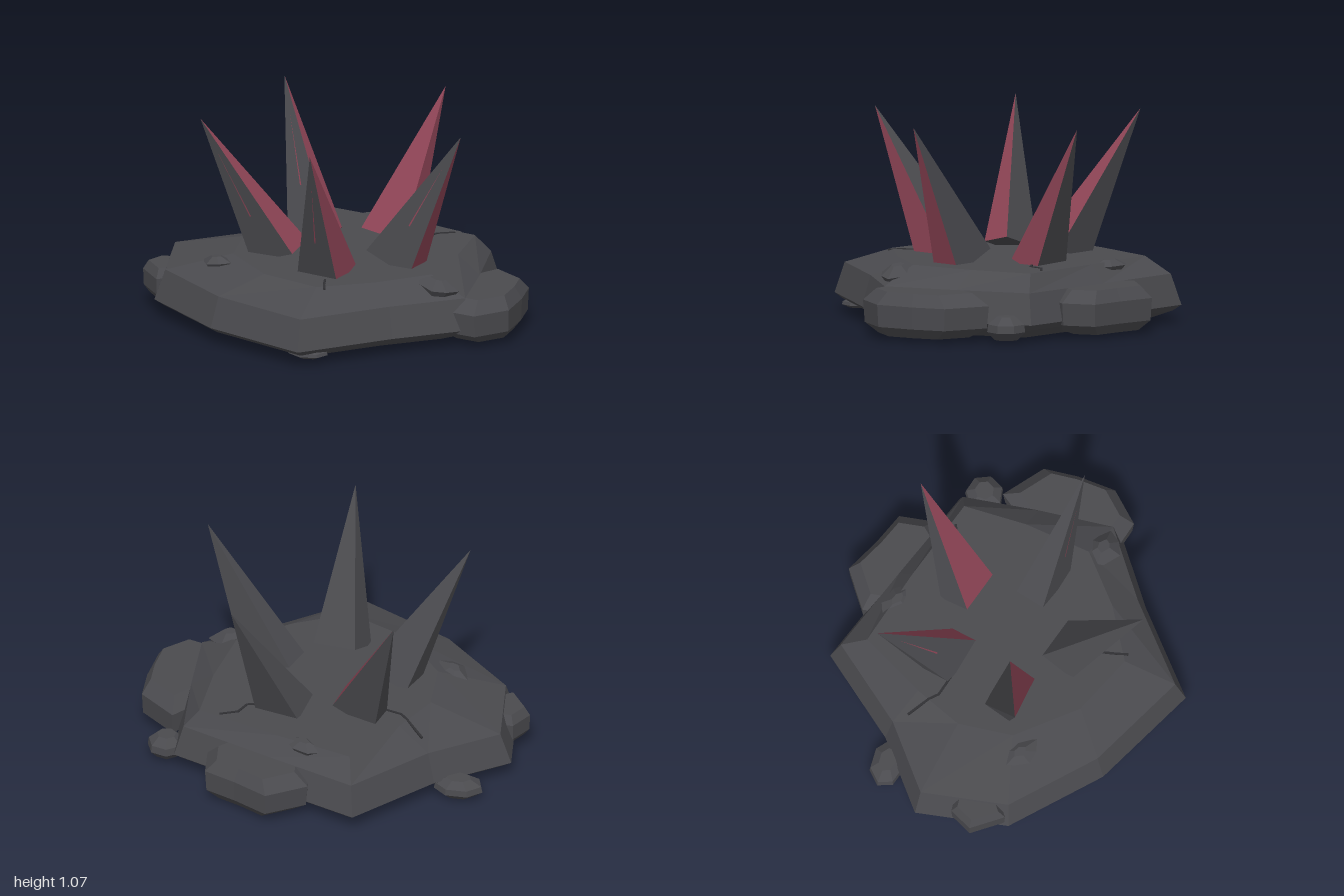
import * as THREE from 'three';

const make = (name, color) => {
  const m = new THREE.MeshStandardMaterial({ color });
  m.name = name;
  return m;
};

// Flat-shaded geometry from triangles, each a list of three [x, y, z] corners
function fromTriangles(tris) {
  const g = new THREE.BufferGeometry();
  g.setAttribute('position', new THREE.Float32BufferAttribute(tris.flat(2), 3));
  g.computeVertexNormals();
  return g;
}

// Closed loft through rings of [x, y, z], bottom to top; rings run from +z towards +x
function loft(rings) {
  const tris = [];
  const n = rings[0].length;
  const centre = (r) => [0, 1, 2].map((k) => r.reduce((s, p) => s + p[k], 0) / n);
  const low = rings[0], high = rings[rings.length - 1];
  const cl = centre(low), ch = centre(high);
  for (let i = 0; i < n; i++) {
    const j = (i + 1) % n;
    tris.push([cl, low[j], low[i]], [ch, high[i], high[j]]);
    for (let k = 0; k + 1 < rings.length; k++) {
      const a = rings[k], b = rings[k + 1];
      tris.push([a[i], a[j], b[j]], [a[i], b[j], b[i]]);
    }
  }
  return fromTriangles(tris);
}

// Ring made by shrinking a ground outline of [x, z] about a centre
const ring = (outline, y, s, cx = 0, cz = 0) =>
  outline.map(([x, z]) => [cx + (x - cx) * s, y, cz + (z - cz) * s]);

export function createModel() {
  const group = new THREE.Group();
  const stone = make('dark stone', 0x4a4a4e);
  const red = make('dull red', 0x8c4354);
  const shade = make('crack grey', 0x303033);

  const add = (name, geometry, material) => {
    const mesh = new THREE.Mesh(geometry, material);
    mesh.name = name;
    group.add(mesh);
    return mesh;
  };

  // Slab: five-cornered plate with a bevelled rim and a raised plateau
  const rim = [[0.28, 0.9], [0.58, 0.46], [0.86, 0.12], [0.72, -0.27], [0.56, -0.66],
    [0, -0.71], [-0.52, -0.75], [-0.74, -0.27], [-1, 0.08], [-0.8, 0.52], [-0.31, 0.78]];
  const plateau = [[0.2, 0.58], [0.42, 0.36], [0.6, 0.1], [0.55, -0.25], [0.46, -0.57],
    [0, -0.59], [-0.42, -0.59], [-0.51, -0.22], [-0.55, 0.05], [-0.45, 0.32], [-0.14, 0.53]];
  add('slab', loft([
    ring(rim, 0, 0.76), ring(rim, 0.06, 0.95), ring(rim, 0.09, 1),
    ring(rim, 0.25, 0.94), plateau.map(([x, z]) => [x, 0.34, z]),
  ]), stone);

  // Boulders leaning against the rim
  const boulder = (name, outline, y0, y1) => {
    const n = outline.length;
    const cx = outline.reduce((s, p) => s + p[0], 0) / n;
    const cz = outline.reduce((s, p) => s + p[1], 0) / n;
    const h = y1 - y0;
    add(name, loft([
      ring(outline, y0, 0.72, cx, cz), ring(outline, y0 + h * 0.22, 0.97, cx, cz),
      ring(outline, y0 + h * 0.72, 1, cx, cz), ring(outline, y1, 0.76, cx, cz),
    ]), stone);
  };
  boulder('backBoulder', [[0.25, -0.5], [0.35, -0.69], [0.28, -0.85], [0.1, -0.87],
    [-0.1, -0.91], [-0.25, -0.73], [-0.16, -0.52]], 0.02, 0.25);
  boulder('rightBoulder', [[0.72, 0.18], [0.9, 0.18], [1, 0], [0.96, -0.2],
    [0.9, -0.37], [0.67, -0.47], [0.56, -0.2]], 0.02, 0.25);
  boulder('frontLeftBoulder', [[-0.8, 0.5], [-0.72, 0.4], [-0.78, 0.2], [-0.92, 0.25],
    [-0.95, 0.38]], 0.07, 0.24);

  // Small rocks around the foot and flat pebbles on top: centre, then half sizes
  const rock = (name, [x, y, z], [a, b, c], turn = 0) => {
    const mesh = add(name, loft([[-1, 0.6], [-0.3, 1], [0.35, 0.95], [1, 0.5]].map(([h, s]) =>
      Array.from({ length: 7 }, (_, i) => {
        const t = (i / 7) * Math.PI * 2;
        return [Math.sin(t) * a * s, h * b, Math.cos(t) * c * s];
      }))), stone);
    mesh.position.set(x, y, z);
    mesh.rotation.y = turn;
  };
  rock('backRightRock', [0.65, 0.08, -0.57], [0.1, 0.06, 0.1]);
  rock('leftRock', [-0.84, 0.06, -0.19], [0.13, 0.05, 0.09], 0.3);
  rock('frontRock', [0.25, 0.05, 0.75], [0.11, 0.025, 0.085]);

  const pebble = (name, [x, y, z], [a, b, c], turn, tilt) => {
    const mesh = add(name, loft([[-1, 0.7], [0, 1], [1, 0.35]].map(([h, s]) =>
      [[0, 0.9], [0.6, 0.6], [1, 0], [0.3, -0.8], [-0.5, -0.8], [-1, 0]]
        .map(([px, pz]) => [px * a * s, h * b, pz * c * s]))), stone);
    mesh.position.set(x, y, z);
    mesh.rotation.set(0, turn, tilt);
  };
  pebble('backPebble', [-0.15, 0.32, -0.58], [0.12, 0.03, 0.07], -0.1, 0);
  pebble('rightPebble', [0.66, 0.3, 0.15], [0.12, 0.045, 0.1], 0.25, -0.15);
  pebble('leftPebble', [-0.5, 0.31, 0.4], [0.11, 0.03, 0.08], -0.3, 0.15);

  // Spikes: foot corners run front-left, front-right, back-right, back-left as seen from +z
  // heights follow the outward lean so that the inner edge of each foot is lifted
  const spike = ([x0, x1, z0, z1], tip, redFaces) => {
    const out = new THREE.Vector2(tip[0], tip[2]).normalize();
    const mid = [(x0 + x1) / 2, (z0 + z1) / 2];
    const foot = [[x0, z1], [x1, z1], [x1, z0], [x0, z0]].map(([x, z]) =>
      [x, 0.345 - 0.42 * ((x - mid[0]) * out.x + (z - mid[1]) * out.y), z]);
    const tris = foot.map((p, i) => [p, foot[(i + 1) % 4], tip]);
    tris.push([foot[0], foot[2], foot[1]], [foot[0], foot[3], foot[2]]);
    const g = fromTriangles(tris);
    tris.forEach((_, i) => g.addGroup(i * 3, 3, redFaces.includes(i) ? 1 : 0));
    add('spike', g, [stone, red]);

    // Thin red seam up the +z face
    if (!redFaces.includes(0)) {
      const [a, b, t] = [foot[0], foot[1], tip].map((p) => new THREE.Vector3(...p));
      const normal = b.clone().sub(a).cross(t.clone().sub(a)).normalize().multiplyScalar(0.002);
      const base = a.clone().lerp(b, 0.5);
      const side = b.clone().sub(a).setLength(0.004);
      const lo = base.clone().lerp(t, 0.3).add(normal);
      const hi = base.clone().lerp(t, 0.76).add(normal);
      add('spikeSeam', fromTriangles([[
        lo.clone().sub(side).toArray(), lo.clone().add(side).toArray(), hi.toArray(),
      ]]), red);
    }
  };
  spike([0.2, 0.45, -0.08, 0.08], [0.715, 1.07, 0], [1]);
  spike([-0.02, 0.22, 0.22, 0.4], [0.22, 1.07, 0.68], [1]);
  spike([-0.02, 0.22, -0.4, -0.24], [0.22, 1.07, -0.68], [0, 1]);
  spike([-0.38, -0.14, 0.1, 0.25], [-0.585, 1.07, 0.42], [1]);
  spike([-0.38, -0.14, -0.25, -0.11], [-0.585, 1.07, -0.42], [1]);

  // Cracks: thin strips lying on the slab
  const crack = (points) => {
    for (let i = 0; i + 1 < points.length; i++) {
      const a = new THREE.Vector3(...points[i]), b = new THREE.Vector3(...points[i + 1]);
      const mesh = add('crack', new THREE.BoxGeometry(0.012, 0.008, a.distanceTo(b) + 0.008), shade);
      mesh.position.copy(a).lerp(b, 0.5);
      mesh.lookAt(b);
    }
  };
  crack([[0.21, 0.34, -0.37], [0.27, 0.34, -0.41], [0.28, 0.34, -0.49], [0.35, 0.34, -0.55]]);
  crack([[-0.63, 0.295, -0.2], [-0.52, 0.338, -0.15], [-0.47, 0.34, -0.12], [-0.36, 0.34, -0.12]]);
  crack([[0.18, 0.34, 0.46], [0.21, 0.34, 0.52], [0.24, 0.335, 0.57]]);

  return group;
}
